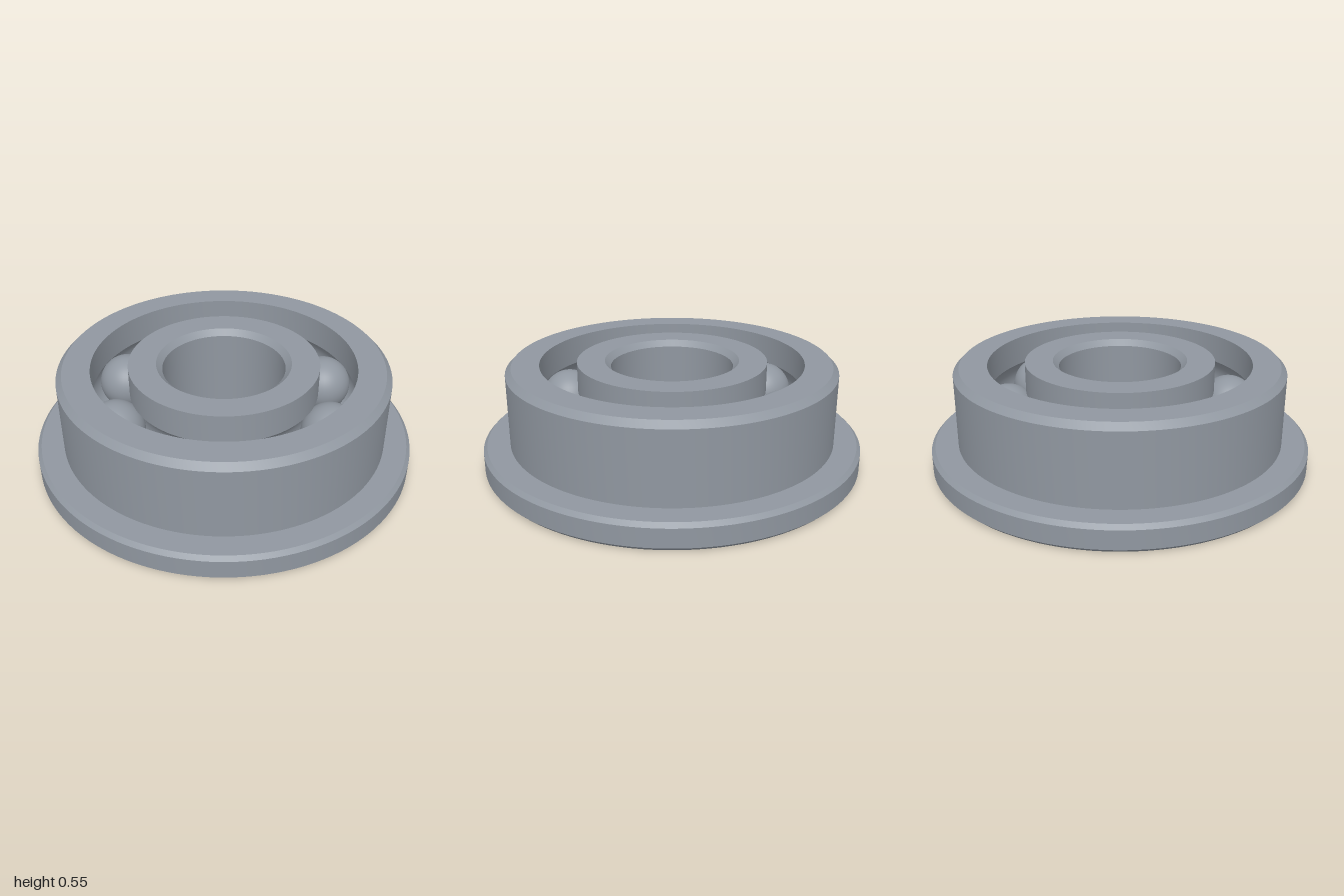
import * as THREE from 'three';
import { toCreasedNormals } from 'three/addons/utils/BufferGeometryUtils.js';

const HEIGHT = 0.545, MID = HEIGHT / 2;
const PITCH = 0.5925, BALL = 0.15, GROOVE = 0.152;

// Ball groove as an arc of profile points, from angle a to angle b
function grooveArc(a, b, steps = 16) {
  return Array.from({ length: steps + 1 }, (_, i) => {
    const t = a + ((b - a) * i) / steps;
    return [PITCH + GROOVE * Math.cos(t), MID + GROOVE * Math.sin(t)];
  });
}

// Closed ring turned from a counter-clockwise [radius, height] profile
function ring(name, profile, material) {
  const points = [...profile, profile[0]].map(([r, y]) => new THREE.Vector2(r, y));
  const geometry = toCreasedNormals(new THREE.LatheGeometry(points, 128), 0.4);
  const mesh = new THREE.Mesh(geometry, material);
  mesh.name = name;
  return mesh;
}

export function createModel() {
  const model = new THREE.Group();
  model.name = 'flangedBallBearing';
  const steel = new THREE.MeshStandardMaterial({ color: 0x9097a0 });
  steel.name = 'steel';

  // Outer ring with bottom flange, chamfers and inner raceway
  const outerLip = 0.688;
  const outerAngle = Math.acos((outerLip - PITCH) / GROOVE);
  model.add(ring('outerRing', [
    [outerLip, 0], [0.98, 0], [1, 0.02], [1, 0.118], [0.98, 0.138],
    [0.862, 0.138], [0.862, 0.514], [0.831, HEIGHT], [outerLip, HEIGHT],
    ...grooveArc(outerAngle, -outerAngle),
  ], steel));

  // Inner ring with chamfered bore and outer raceway
  const innerLip = 0.496;
  const innerAngle = Math.acos((innerLip - PITCH) / GROOVE);
  model.add(ring('innerRing', [
    [0.351, 0], [innerLip, 0],
    ...grooveArc(2 * Math.PI - innerAngle, innerAngle),
    [innerLip, HEIGHT], [0.351, HEIGHT], [0.32, HEIGHT - 0.031], [0.32, 0.031],
  ], steel));

  // Eight balls around the pitch circle
  const balls = new THREE.Group();
  balls.name = 'balls';
  const ballGeometry = new THREE.SphereGeometry(BALL, 40, 28);
  for (let i = 0; i < 8; i++) {
    const angle = THREE.MathUtils.degToRad(11.8 + 45 * i);
    const ball = new THREE.Mesh(ballGeometry, steel);
    ball.name = `ball${i + 1}`;
    ball.position.set(PITCH * Math.sin(angle), MID, -PITCH * Math.cos(angle));
    balls.add(ball);
  }
  model.add(balls);
  return model;
}
